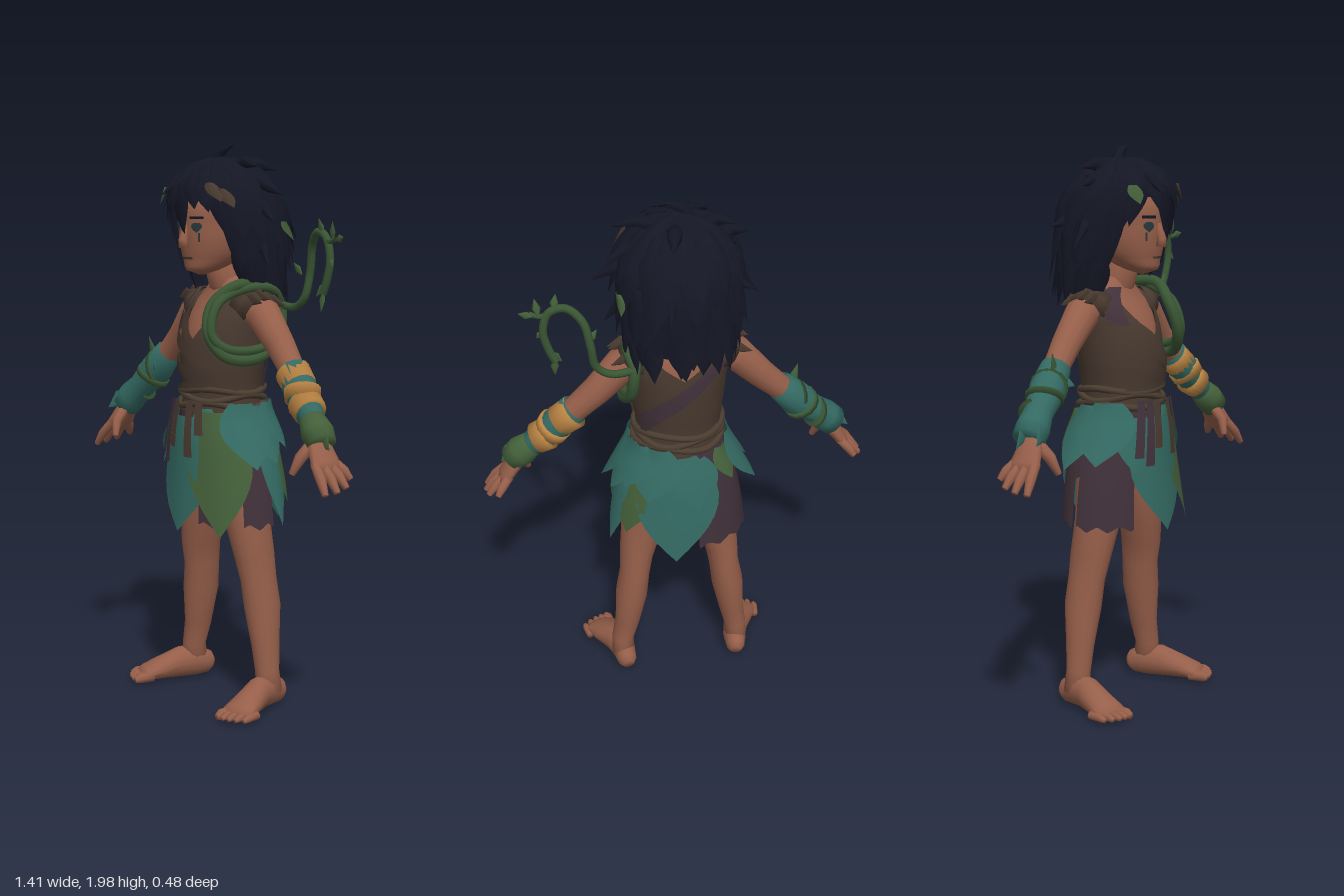
import * as THREE from 'three';

const mat = (name, color) => new THREE.MeshStandardMaterial({ name, color, side: THREE.DoubleSide });
const M = {
  skin: mat('skin', 0x965f4a), hair: mat('hair', 0x141624), tunic: mat('tunic', 0x48392f),
  cloth: mat('darkCloth', 0x41313a), teal: mat('tealLeaf', 0x346a63), green: mat('greenLeaf', 0x44603a),
  vine: mat('vine', 0x3a5634), gold: mat('goldWrap', 0xb98343), rope: mat('rope', 0x4b3d30), dark: mat('darkMark', 0x2a3a3c),
};
let seed = 7;
const rnd = () => (seed = (seed * 16807) % 2147483647) / 2147483647;
const lerp = THREE.MathUtils.lerp;

// Body outlines, bottom to top: [y, half width, half depth, centre z]
const outline = (rows) => {
  const f = new THREE.CubicInterpolant(rows.map((r) => r[0]), rows.flatMap((r) => r.slice(1)), 3);
  return (angle, y, off = 0) => {
    const [a, b, zc] = f.evaluate(THREE.MathUtils.clamp(y, rows[0][0], rows.at(-1)[0]));
    return [Math.sin(angle) * (a + off), y, zc + Math.cos(angle) * (b + off)];
  };
};
const BODY = outline([[0.62, 0.245, 0.17, 0], [0.85, 0.212, 0.16, 0], [0.98, 0.178, 0.15, 0.005], [1.06, 0.15, 0.135, 0.01],
  [1.12, 0.142, 0.128, 0.01], [1.22, 0.155, 0.135, 0.01], [1.34, 0.165, 0.13, 0], [1.42, 0.17, 0.105, -0.015],
  [1.46, 0.14, 0.085, -0.02], [1.5, 0.09, 0.065, -0.015], [1.54, 0.05, 0.05, 0]]);
const HEAD = outline([[1.535, 0.01, 0.01, 0.1], [1.545, 0.045, 0.045, 0.1], [1.58, 0.088, 0.092, 0.065], [1.64, 0.12, 0.125, 0.042],
  [1.7, 0.13, 0.136, 0.035], [1.78, 0.135, 0.14, 0.025], [1.86, 0.1, 0.1, 0], [1.9, 0.01, 0.01, 0]]);
const HAIR = outline([[1.4, 0.12, 0.09, -0.085], [1.48, 0.155, 0.12, -0.07], [1.58, 0.178, 0.155, -0.045], [1.68, 0.188, 0.176, -0.03],
  [1.78, 0.188, 0.18, -0.012], [1.85, 0.162, 0.16, 0.005], [1.9, 0.118, 0.117, 0.01], [1.93, 0.068, 0.068, 0.01], [1.945, 0.005, 0.005, 0.01]]);

function build(pos, idx) {
  const g = new THREE.BufferGeometry();
  g.setAttribute('position', new THREE.Float32BufferAttribute(pos, 3));
  g.setIndex(idx);
  g.computeVertexNormals();
  return g;
}
// Open sheet from a rule f(u, v)
function grid(nu, nv, f) {
  const pos = [], idx = [];
  for (let j = 0; j <= nv; j++) for (let i = 0; i <= nu; i++) pos.push(...f(i / nu, j / nv));
  for (let j = 0; j < nv; j++) for (let i = 0; i < nu; i++) {
    const a = j * (nu + 1) + i, b = a + nu + 1;
    idx.push(a, a + 1, b, a + 1, b + 1, b);
  }
  return build(pos, idx);
}
// Closed tapering form through sections [x, y, z, radius, radius towards ref]
function loft(sections, n = 12, ref = [0, 0, 1]) {
  const tip = (s) => [s[0], s[1], s[2], 0.0005, 0.0005];
  const c = sections.map((s) => new THREE.Vector3(s[0], s[1], s[2]));
  const rings = [tip(sections[0]), ...sections, tip(sections.at(-1))], pos = [], idx = [];
  rings.forEach((r, k) => {
    const i = THREE.MathUtils.clamp(k - 1, 0, c.length - 1);
    const t = c[Math.min(i + 1, c.length - 1)].clone().sub(c[Math.max(i - 1, 0)]).normalize();
    const w = new THREE.Vector3(...ref).addScaledVector(t, -t.dot(new THREE.Vector3(...ref))).normalize();
    const s = w.clone().cross(t);
    for (let j = 0; j < n; j++) {
      const p = c[i].clone().addScaledVector(s, Math.cos(j / n * 2 * Math.PI) * r[3]);
      pos.push(...p.addScaledVector(w, Math.sin(j / n * 2 * Math.PI) * (r[4] ?? r[3])).toArray());
      if (k === rings.length - 1) continue;
      const a = k * n + j, b = k * n + (j + 1) % n;
      idx.push(a, b, a + n, b, b + n, a + n);
    }
  });
  return build(pos, idx);
}
const tube = (pts, r, closed = false) =>
  new THREE.TubeGeometry(new THREE.CatmullRomCurve3(pts.map((p) => new THREE.Vector3(...p)), closed), 48, r, 8, closed);
// Band around an outline between two height rules
const wrap = (S, a0, a1, lo, hi, off, nu = 40, nv = 12) => grid(nu, nv, (u, v) => {
  const a = lerp(a0, a1, u);
  return S(a, lerp(lo(a), hi(a), v), off);
});
// Pointed leaf or lock lying on an outline, its tip lifting away
const blade = (S, angle, top, end, width, { off = 0.015, lift = 0.02, lean = 0, ridge = 0.01 } = {}) => grid(4, 10, (u, v) => {
  const s = u * 2 - 1, w = width / 2 * Math.sin(Math.PI * 0.82 * Math.pow(v, 1.1));
  return S(angle + lean * (1 - v) + s * w / 0.2, lerp(end, top, v), off + lift * (1 - v) ** 1.5 + ridge * (1 - s * s) * v);
});

export function createModel() {
  const root = new THREE.Group();
  const add = (name, geo, m) => {
    const mesh = new THREE.Mesh(geo, m);
    mesh.name = name;
    root.add(mesh);
  };
  const leafAt = (name, p, q, w, m) => {
    const mid = p.map((c, i) => lerp(c, q[i], 0.45));
    add(name, loft([[...p, 0.003, 0.003], [...mid, w, 0.006], [...q, 0.001, 0.001]], 6), m);
  };
  const flat = (y) => () => y;

  // Torso and neck
  add('torso', wrap(BODY, -Math.PI, Math.PI, flat(0.95), flat(1.54), -0.008), M.skin);
  add('neck', loft([[0, 1.45, -0.02, 0.075, 0.06], [0, 1.51, 0, 0.057], [0, 1.6, 0.03, 0.056]]), M.skin);

  // Sleeveless wrap tunic with a V neck at front and back
  add('tunic', wrap(BODY, -Math.PI, Math.PI, flat(1.05), (a) =>
    Math.min(1.485, Math.min(1.3 + Math.abs(a) * 0.23, 1.37 + (Math.PI - Math.abs(a)) * 0.12)), 0.008, 64), M.tunic);
  for (const [lo, hi, slope, off] of [[1.28, 1.325, -0.13, 0.016], [1.24, 1.29, -0.09, 0.022], [1.17, 1.21, -0.04, 0.02], [1.13, 1.16, 0.03, 0.024]])
    add('frontWrap', wrap(BODY, -1.25, 1.25, (a) => lo + slope * a, (a) => Math.min(hi + slope * a, 1.47), off), M.tunic);
  for (const k of [-1, 1])
    add('backSash', wrap(BODY, Math.PI - 1.1, Math.PI + 1.1, (a) => 1.28 + k * 0.15 * (a - Math.PI),
      (a) => 1.35 + k * 0.13 * (a - Math.PI), 0.016 + k * 0.003), k > 0 ? M.cloth : M.tunic);
  add('shoulderStrap', wrap(BODY, -1.05, -0.6, flat(1.36), flat(1.49), 0.022, 8), M.cloth);

  // Rope belt
  for (const [y, tilt] of [[1.08, 0.01], [1.105, -0.012], [1.13, 0.008]]) {
    const pts = Array.from({ length: 20 }, (_, i) => BODY(i / 20 * Math.PI * 2, y + tilt * Math.sin(i / 20 * Math.PI * 6), 0.015));
    add('beltRope', tube(pts, 0.012, true), M.rope);
  }
  for (const [a, end] of [[-0.55, 0.9], [-0.35, 0.87], [-0.18, 0.93], [0.2, 0.9], [0.42, 0.98]])
    add('beltEnd', wrap(BODY, a - 0.08, a + 0.08, flat(end), flat(1.1), 0.045, 3, 6), a < -0.3 ? M.cloth : M.tunic);

  // Ragged cloth skirt
  const rag = (y) => (a) => y + 0.022 * Math.abs(((a * 5 + 40) % 2) - 1);
  add('underSkirt', wrap(BODY, -Math.PI, Math.PI, rag(0.82), flat(1.08), 0, 60), M.cloth);
  for (const [a0, a1, end] of [[-1.65, -0.55, 0.64], [-2.95, -1.75, 0.65], [0.3, 0.6, 0.65], [1.1, 1.75, 0.65]])
    add('clothPanel', wrap(BODY, a0, a1, rag(end), flat(1.06), 0.01, 24), M.cloth);

  // Leaf skirt: [angle, top, tip, width, colour, offset, lift]
  for (const [a, top, end, w, m, off, lift] of [
    [0, 1.04, 0.63, 0.25, M.teal, 0.025, 0.015], [0.72, 1.06, 0.63, 0.22, M.green, 0.022, 0.03], [1.3, 1.09, 0.87, 0.18, M.teal, 0.028, 0.05],
    [0.45, 1.07, 0.84, 0.13, M.teal, 0.014, 0.015], [-0.62, 1.04, 0.85, 0.13, M.teal, 0.025, 0.02], [-1.22, 1.09, 0.88, 0.21, M.teal, 0.028, 0.05],
    [-1.75, 1.08, 0.86, 0.17, M.teal, 0.025, 0.05], [1.75, 1.08, 0.88, 0.17, M.teal, 0.025, 0.03], [2.2, 1.06, 0.73, 0.2, M.green, 0.016, 0.02],
    [2.1, 1.09, 0.93, 0.18, M.teal, 0.034, 0.025], [2.55, 1.09, 0.9, 0.18, M.teal, 0.03, 0.025], [2.98, 1.06, 0.64, 0.26, M.teal, 0.02, 0.025],
    [3.3, 1.05, 0.86, 0.16, M.teal, 0.024, 0.02], [1.85, 1.04, 0.66, 0.13, M.teal, 0.018, 0.02], [-2.3, 1.06, 0.93, 0.1, M.green, 0.022, 0.02]])
    add('skirtLeaf', blade(BODY, a, top, end, w * 1.1, { off, lift, ridge: 0.01 }), m);

  // Legs, feet, arms and hands
  for (const s of [1, -1]) {
    const side = (rows) => rows.map((r) => [s * r[0], ...r.slice(1)]);
    add('leg', loft(side([[0.085, 0.98, 0, 0.08, 0.1], [0.105, 0.82, 0, 0.088, 0.095], [0.138, 0.66, 0, 0.079, 0.083],
      [0.163, 0.54, -0.012, 0.063, 0.077], [0.172, 0.46, -0.022, 0.056, 0.07], [0.187, 0.36, -0.028, 0.06, 0.07],
      [0.206, 0.22, -0.028, 0.047, 0.053], [0.224, 0.13, -0.022, 0.042, 0.045], [0.226, 0.05, -0.03, 0.043, 0.05]]), 16), M.skin);
    add('foot', loft(side([[0.215, 0.04, -0.097, 0.022, 0.025], [0.217, 0.046, -0.08, 0.036, 0.043], [0.222, 0.06, -0.03, 0.044, 0.058],
      [0.24, 0.06, 0.03, 0.047, 0.058], [0.268, 0.043, 0.1, 0.057, 0.042], [0.288, 0.029, 0.155, 0.063, 0.027], [0.295, 0.022, 0.175, 0.057, 0.018]]), 14, [0, 1, 0]), M.skin);
    for (let i = 0; i < 5; i++) {
      const x = 0.255 + i * 0.023, z = 0.215 - i * i * 0.0028, r = i ? 0.0145 : 0.02;
      add('toe', loft(side([[x - 0.01, 0.022, z - 0.06, r], [x, 0.022, z - 0.01, r], [x + 0.003, 0.017, z + 0.01, r * 0.6]]), 8, [0, 1, 0]), M.skin);
    }
    add('arm', loft(side([[0.13, 1.42, -0.02, 0.06], [0.2, 1.395, -0.022, 0.062], [0.29, 1.3, -0.022, 0.052], [0.36, 1.23, -0.012, 0.046],
      [0.43, 1.16, 0.004, 0.05], [0.52, 1.07, 0.025, 0.037], [0.57, 1.015, 0.038, 0.032]])), M.skin);
    add('palm', loft(side([[0.55, 1.035, 0.033, 0.028, 0.033], [0.585, 0.985, 0.045, 0.027, 0.048], [0.62, 0.935, 0.05, 0.024, 0.06], [0.635, 0.915, 0.052, 0.018, 0.055]])), M.skin);
    [[0.69, 0.85, 0.112], [0.697, 0.855, 0.067], [0.69, 0.865, 0.022], [0.66, 0.885, -0.022]].forEach(([x, y, z], i) =>
      add('finger', loft(side([[0.612, 0.942, 0.09 - i * 0.026, 0.017], [lerp(0.62, x, 0.55), lerp(0.94, y, 0.5), lerp(0.09 - i * 0.026, z, 0.6), 0.0175], [x, y, z, 0.011]]), 8), M.skin));
    add('thumb', loft(side([[0.565, 1.0, 0.06, 0.022], [0.555, 0.955, 0.105, 0.02], [0.535, 0.9, 0.125, 0.011]]), 8), M.skin);
    add('shoulderCap', loft(side([[0.11, 1.43, -0.02, 0.06, 0.085], [0.155, 1.42, -0.02, 0.067, 0.08], [0.18, 1.405, -0.02, 0.066, 0.07]])), M.tunic);
    for (const z of [-0.06, 0, 0.03])
      leafAt('shoulderFray', [s * 0.15, 1.475 - Math.abs(z) * 0.3, z], [s * 0.245, 1.455 - Math.abs(z) * 0.4, z * 1.1 - 0.01], 0.025, M.tunic);
    add('ear', loft(side([[0.128, 1.64, 0.02, 0.012, 0.02], [0.142, 1.67, 0.015, 0.014, 0.03], [0.142, 1.7, 0.01, 0.008, 0.02]]), 8), M.skin);
    // Face details
    add('eye', blade(HEAD, s * 0.42, 1.715, 1.68, 0.065, { off: 0.003, lift: 0, ridge: 0.003 }), M.dark);
    add('eyebrow', wrap(HEAD, s * 0.42 - 0.2, s * 0.42 + 0.2, flat(1.728), flat(1.737), 0.005, 6, 1), M.hair);
    add('cheekMark', wrap(HEAD, s * 0.5 - 0.03, s * 0.5 + 0.03, flat(1.65), flat(1.68), 0.003, 2, 3), M.dark);
  }

  // Forearm wraps: the right one is leafy, the left one is bound in gold
  add('rightBracer', loft([[-0.365, 1.23, -0.01, 0.052], [-0.43, 1.16, 0.003, 0.063], [-0.505, 1.09, 0.02, 0.05], [-0.55, 1.048, 0.033, 0.058], [-0.585, 1.015, 0.04, 0.056]], 14), M.teal);
  for (const [p, q, w] of [[[-0.52, 1.1, 0.02], [-0.645, 0.99, 0.035], 0.04], [[-0.53, 1.07, 0.07], [-0.62, 1.0, 0.1], 0.035],
    [[-0.42, 1.2, 0.02], [-0.355, 1.17, 0.06], 0.03]])
    leafAt('bracerLeaf', p, q, w, M.teal);
  leafAt('bracerSprig', [-0.41, 1.19, 0.02], [-0.44, 1.285, 0.03], 0.02, M.green);
  for (const [x, dy, r] of [[-0.42, -0.003, 0.066], [-0.445, -0.02, 0.066], [-0.5, -0.006, 0.056]])
    add('bracerStrap', loft([[x, 1.59 + x, 0.003, r], [x - 0.012, 1.59 + x + dy, 0.008, r]], 14), M.vine);
  add('leftBracer', loft([[0.37, 1.225, -0.01, 0.054], [0.43, 1.16, 0.003, 0.059], [0.53, 1.06, 0.03, 0.043]], 14), M.teal);
  for (const [x, dx, dy, r] of [[0.398, 0.027, -0.021, 0.061], [0.445, 0.009, -0.017, 0.064], [0.483, 0.022, -0.013, 0.06]]) {
    const y = 1.59 - x, z = x * 0.25 - 0.105;
    add('goldBand', loft([[x - dx, y - dy, z - 0.006, r], [x + dx, y + dy, z + 0.006, r - 0.003]], 16), M.gold);
  }
  add('leftCuff', loft([[0.52, 1.072, 0.027, 0.044], [0.56, 1.035, 0.038, 0.056], [0.595, 1.0, 0.048, 0.05]], 14), M.green);
  leafAt('cuffLeaf', [0.55, 1.06, 0.04], [0.635, 0.985, 0.05], 0.045, M.green);

  // Head
  add('head', wrap(HEAD, -Math.PI, Math.PI, flat(1.535), flat(1.9), 0, 40, 24), M.skin);
  add('nose', loft([[0, 1.71, 0.165, 0.012], [0, 1.655, 0.18, 0.017], [0, 1.632, 0.175, 0.022, 0.018]], 8), M.skin);
  add('mouth', wrap(HEAD, -0.27, 0.27, flat(1.589), flat(1.597), 0.004, 8, 1), M.tunic);

  // Hair mass, overlapping locks, fringe and stray spikes
  add('hairMass', wrap(HAIR, -Math.PI, Math.PI, (a) => lerp(1.8, 1.5, THREE.MathUtils.smoothstep(Math.abs(a), 0.7, 1.15)), flat(1.945), 0, 64, 20), M.hair);
  for (const [y, n, len] of [[1.94, 9, 0.13], [1.91, 13, 0.18], [1.84, 17, 0.22], [1.75, 17, 0.21], [1.65, 17, 0.19], [1.58, 16, 0.15]])
    for (let i = 0; i < n; i++) {
      const a = ((i + rnd() * 0.6) / n * 2 - 1) * Math.PI;
      const front = Math.abs(a) < 0.9;
      if (front && y < 1.86) continue;
      add('hairLock', blade(HAIR, a, y, Math.max(y - len * (0.8 + rnd() * 0.4), front ? 1.77 : 1.415), 0.1,
        { off: 0.004, lift: 0.02 + rnd() * 0.035, lean: (rnd() - 0.5) * 0.4, ridge: 0.02 }), M.hair);
    }
  for (const [a, end, lean] of [[-0.98, 1.53, 0.05], [-0.8, 1.64, -0.1], [-0.55, 1.7, -0.15], [-0.28, 1.75, 0.1], [-0.05, 1.67, 0.1], [0.22, 1.76, 0.15], [0.45, 1.75, 0.15], [0.72, 1.66, 0.12], [0.98, 1.53, -0.05]])
    add('fringeLock', blade(HAIR, a, 1.89, end, 0.085, { off: 0.014, lift: 0.025, lean, ridge: 0.012 }), M.hair);
  for (const [p, q, r] of [
    [[-0.06, 1.9, 0.02], [0.055, 1.985, 0], 0.025], [[0.06, 1.9, 0], [0.215, 1.905, 0.02], 0.03], [[0.12, 1.84, 0], [0.255, 1.81, -0.06], 0.035],
    [[0.14, 1.78, -0.02], [0.295, 1.715, 0.01], 0.035], [[-0.12, 1.84, 0], [-0.245, 1.84, 0.02], 0.035], [[-0.14, 1.75, 0], [-0.275, 1.62, 0], 0.03],
    [[-0.08, 1.89, 0], [-0.19, 1.9, -0.03], 0.03], [[0.02, 1.9, -0.06], [0.05, 1.9, -0.19], 0.035], [[0.15, 1.67, -0.03], [0.255, 1.56, 0], 0.03],
    [[-0.05, 1.88, 0.1], [-0.06, 1.81, 0.225], 0.03], [[0.05, 1.78, -0.15], [0.07, 1.66, -0.25], 0.035], [[-0.14, 1.7, -0.08], [-0.24, 1.7, -0.12], 0.03]]) {
    const mid = p.map((c, i) => lerp(c, q[i], 0.5) + (i === 1 ? 0.02 : 0));
    add('hairSpike', loft([[...p, r, r], [...mid, r * 0.7, r * 0.7], [...q, 0.001, 0.001]], 6), M.hair);
  }
  for (const [a, y, m] of [[-0.75, 1.84, M.green], [0.68, 1.85, M.tunic], [0.85, 1.83, M.tunic], [1.9, 1.72, M.green]])
    add('hairLeaf', blade(HAIR, a, y, y - 0.065, 0.05, { off: 0.036, lean: 0.15 }), m);

  // Vine coiled round the left shoulder, with a curling tail
  for (const d of [0, 1])
    add('vineCoil', tube([[0.15, 1.5 - d * 0.02, 0.06], [0.11 + d * 0.03, 1.43, 0.14], [0.13 + d * 0.02, 1.33, 0.165], [0.175, 1.255 + d * 0.03, 0.12],
      [0.195, 1.25 + d * 0.03, 0], [0.18, 1.32, -0.1], [0.17, 1.42, -0.12], [0.15 + d * 0.04, 1.49, -0.06]], 0.02 - d * 0.003, true), M.vine);
  add('vineTail', tube([[0.17, 1.43, -0.12], [0.25, 1.425, -0.12], [0.3, 1.46, -0.12], [0.318, 1.55, -0.13], [0.34, 1.64, -0.12], [0.39, 1.685, -0.1],
    [0.445, 1.67, -0.09], [0.468, 1.6, -0.09], [0.45, 1.52, -0.09], [0.432, 1.48, -0.09]], 0.014), M.vine);
  add('vineTwig', tube([[0.43, 1.68, -0.09], [0.47, 1.655, -0.085], [0.51, 1.665, -0.08]], 0.009), M.vine);
  for (const [x, y, u, v] of [[0.435, 1.49, 0.435, 1.42], [0.45, 1.52, 0.41, 1.47], [0.5, 1.66, 0.545, 1.67], [0.48, 1.66, 0.49, 1.72], [0.43, 1.68, 0.42, 1.73], [0.32, 1.54, 0.29, 1.58], [0.465, 1.6, 0.49, 1.57]])
    leafAt('vineLeaf', [x, y, -0.09], [u, v, -0.08], 0.015, M.green);
  return root;
}
